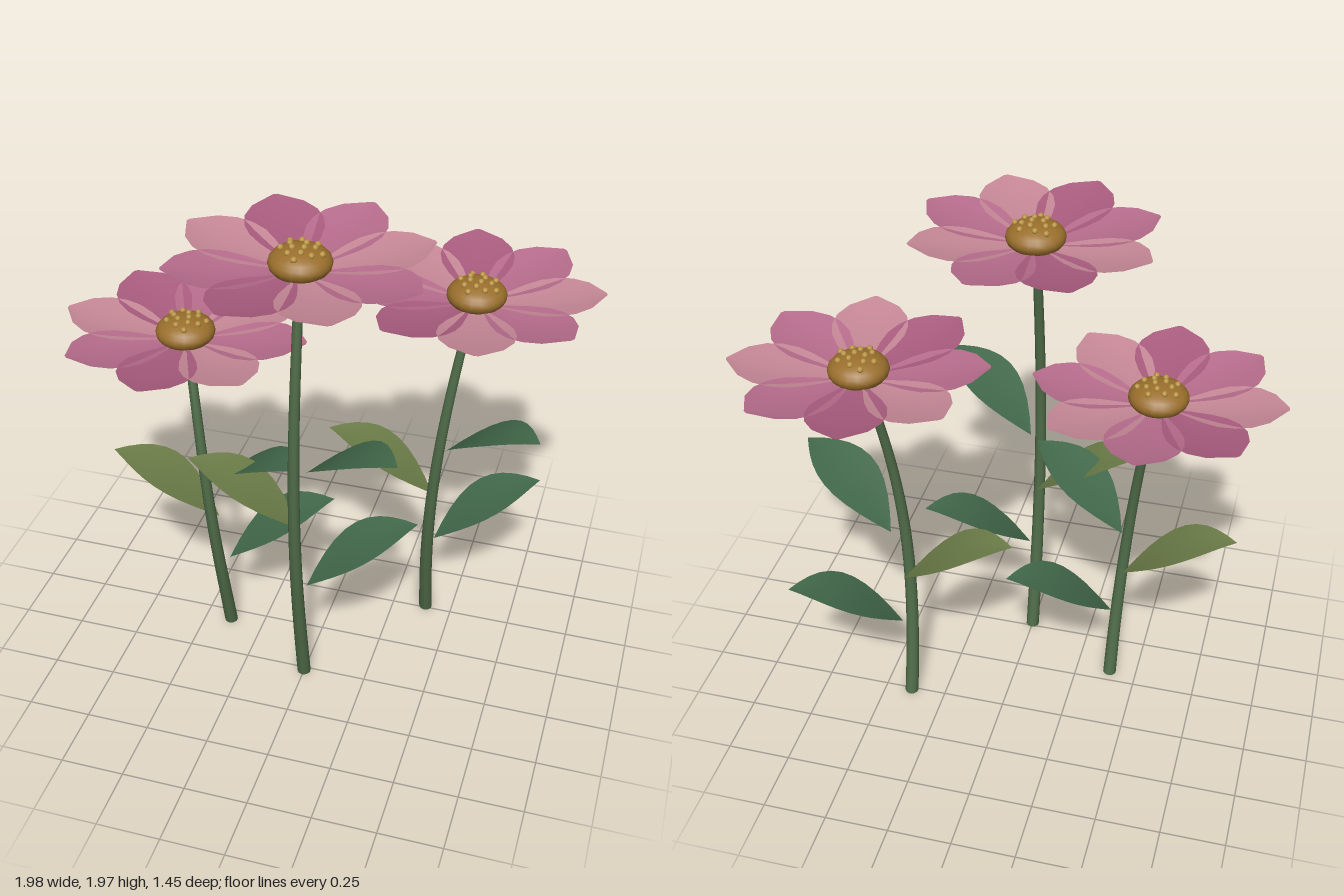
import * as THREE from 'three';

const mat = (color, side = THREE.FrontSide) => new THREE.MeshStandardMaterial({ color, side });
const thin = (color) => mat(color, THREE.DoubleSide);

const stemMat = mat(0x4f6b48);
const discMat = mat(0x9a6f2c);
const seedMat = mat(0xb8923f);
const leafMats = [thin(0x42694a), thin(0x6c7d48), thin(0x42694a)];
const petalMats = [thin(0xb66c8c), thin(0xc58796), thin(0xa95c7e)];

// Thin blade along +x: point(t, s) gives a surface point, s runs -1..1 across
function blade(rows, cols, point) {
  const pos = [], index = [];
  for (let i = 0; i <= rows; i++) {
    for (let j = 0; j <= cols; j++) {
      pos.push(...point(i / rows, (2 * j) / cols - 1));
      if (i === rows || j === cols) continue;
      const a = i * (cols + 1) + j, b = a + cols + 1;
      index.push(a, a + 1, b, b, a + 1, b + 1);
    }
  }
  const geo = new THREE.BufferGeometry();
  geo.setAttribute('position', new THREE.Float32BufferAttribute(pos, 3));
  geo.setIndex(index);
  geo.computeVertexNormals();
  return geo;
}

// Half widths of a petal from the disc to its blunt tip
const petalWidths = [0.03, 0.07, 0.108, 0.135, 0.143, 0.132, 0.095, 0.008];
const petalGeo = blade(7, 4, (t, s) => [
  0.06 + 0.415 * t,
  -0.032 + 0.056 * t * t + 0.018 * s * s * Math.sin(Math.PI * t),
  s * petalWidths[Math.round(t * 7)],
]);

// Leaf arching upward and levelling out at the tip
const leafGeo = blade(10, 4, (t, s) => [
  0.44 * t,
  0.245 * (1 - (1 - t) ** 2) + 0.008 * s * s * Math.sin(Math.PI * t),
  s * 0.125 * Math.sin(Math.PI * t ** 0.95),
]);

const discGeo = new THREE.SphereGeometry(0.113, 20, 12).scale(1, 0.52, 1);
const seedGeo = new THREE.SphereGeometry(0.012, 8, 6);

function add(parent, name, geo, material) {
  const mesh = new THREE.Mesh(geo, material);
  mesh.name = name;
  parent.add(mesh);
  return mesh;
}

function makeHead(turn) {
  const head = new THREE.Group();
  head.name = 'flowerHead';
  // Eight petals in three shades
  for (let i = 0; i < 8; i++) {
    const petal = add(head, 'petal', petalGeo, petalMats[i % 3]);
    petal.rotation.y = -(turn + (i * Math.PI) / 4);
  }
  add(head, 'disc', discGeo, discMat).position.y = -0.002;
  // Seeds spiralling over the dome
  for (let i = 0; i < 14; i++) {
    const r = 0.082 * Math.sqrt((i + 0.6) / 14), a = i * 2.4 + turn;
    const y = 0.059 * Math.sqrt(1 - (r / 0.113) ** 2) - 0.001;
    add(head, 'seed', seedGeo, seedMat).position.set(r * Math.cos(a), y, r * Math.sin(a));
  }
  return head;
}

function makeFlower({ x, z, lean, height, turn }) {
  const flower = new THREE.Group();
  flower.name = 'flower';
  const stemX = (t) => x + lean * t ** 2.1;
  const stemZ = (t) => z + 0.11 * Math.sin(Math.PI * t);

  // Tapered stem, bent by moving its rings
  const stemGeo = new THREE.CylinderGeometry(0.017, 0.027, height - 0.02, 10, 20);
  stemGeo.translate(0, (height - 0.02) / 2, 0);
  const p = stemGeo.attributes.position;
  for (let i = 0; i < p.count; i++) {
    const t = p.getY(i) / height;
    p.setXYZ(i, p.getX(i) + stemX(t), p.getY(i), p.getZ(i) + stemZ(t));
  }
  stemGeo.computeVertexNormals();
  add(flower, 'stem', stemGeo, stemMat);

  // Three leaves up the stem
  [[0.243, 0.46], [0.39, Math.PI], [0.532, -0.46]].forEach(([t, angle], i) => {
    const leaf = add(flower, 'leaf', leafGeo, leafMats[i]);
    leaf.position.set(stemX(t) + 0.015 * Math.cos(angle), height * t, z);
    leaf.rotation.y = angle;
  });

  const head = makeHead(turn);
  head.position.set(x + lean, height, z);
  flower.add(head);
  return flower;
}

export function createModel() {
  const group = new THREE.Group();
  group.name = 'flowers';
  const deg = Math.PI / 180;
  [
    { x: -0.39, z: 0.055, lean: -0.13, height: 1.42, turn: 0 },
    { x: 0, z: 0.267, lean: 0, height: 1.9, turn: 17 * deg },
    { x: 0.39, z: -0.26, lean: 0.13, height: 1.57, turn: 34 * deg },
  ].forEach((f) => group.add(makeFlower(f)));
  return group;
}
